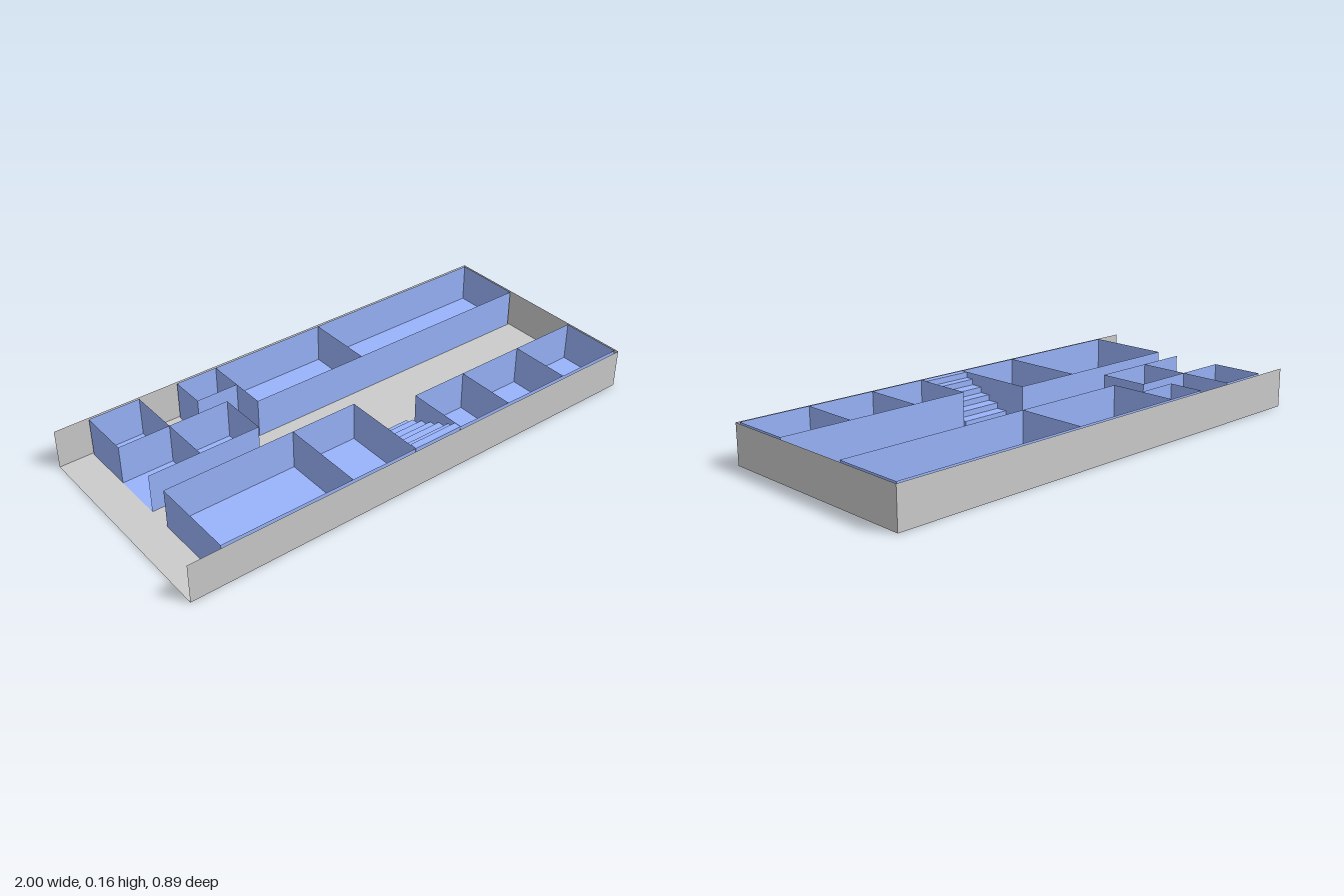
import * as THREE from 'three';

const GREY = new THREE.MeshStandardMaterial({ color: 0xcccccc, side: THREE.DoubleSide, flatShading: true });
const BLUE = new THREE.MeshStandardMaterial({ color: 0x99b4fb, side: THREE.DoubleSide, flatShading: true });
const SHELL_H = 0.16;
const ROOM_H = 0.162;
const FLOOR_Y = 0.002;

// Thin upright panel between two points of the plan
function wall(parent, name, material, [x1, z1, x2, z2], bottom, top) {
  const length = Math.hypot(x2 - x1, z2 - z1);
  const mesh = new THREE.Mesh(new THREE.PlaneGeometry(length, top - bottom), material);
  mesh.position.set((x1 + x2) / 2, (bottom + top) / 2, (z1 + z2) / 2);
  mesh.rotation.y = -Math.atan2(z2 - z1, x2 - x1);
  mesh.name = name;
  parent.add(mesh);
}

// Flat rectangle of floor
function floor(parent, name, material, [x1, z1, x2, z2], y) {
  const mesh = new THREE.Mesh(new THREE.PlaneGeometry(x2 - x1, z2 - z1), material);
  mesh.rotation.x = -Math.PI / 2;
  mesh.position.set((x1 + x2) / 2, y, (z1 + z2) / 2);
  mesh.name = name;
  parent.add(mesh);
}

function roomBlock(name, floors, walls) {
  const group = new THREE.Group();
  group.name = name;
  floors.forEach((f) => floor(group, 'roomFloor', BLUE, f, FLOOR_Y));
  walls.forEach((w) => wall(group, 'roomWall', BLUE, w, FLOOR_Y, ROOM_H));
  return group;
}

export function createModel() {
  const model = new THREE.Group();
  model.name = 'floorPlan';

  // Outer shell, open at the -x end
  const shell = new THREE.Group();
  shell.name = 'outerShell';
  floor(shell, 'groundFloor', GREY, [-1, -0.447, 1, 0.447], 0);
  wall(shell, 'frontOuterWall', GREY, [-1, 0.447, 1, 0.447], 0, SHELL_H);
  wall(shell, 'backOuterWall', GREY, [-1, -0.447, 1, -0.447], 0, SHELL_H);
  wall(shell, 'endOuterWall', GREY, [1, -0.447, 1, 0.447], 0, SHELL_H);
  model.add(shell);

  // Two front rooms near the open end
  model.add(roomBlock('frontLargeRooms',
    [[-0.865, 0.085, -0.045, 0.435]],
    [
      [-0.865, 0.085, -0.045, 0.085],
      [-0.865, 0.435, -0.045, 0.435],
      ...[-0.865, -0.325, -0.045].map((x) => [x, 0.085, x, 0.435]),
    ]));

  // Three front rooms beyond the stairs
  model.add(roomBlock('frontSmallRooms',
    [[0.17, 0.185, 0.99, 0.435]],
    [
      [0.17, 0.185, 0.99, 0.185],
      [0.17, 0.435, 0.99, 0.435],
      ...[0.17, 0.41, 0.7, 0.99].map((x) => [x, 0.185, x, 0.435]),
    ]));

  // Two long back rooms with a closet beside them
  model.add(roomBlock('backRooms',
    [[-0.315, -0.435, 0.99, -0.15], [-0.49, -0.435, -0.315, -0.29]],
    [
      [-0.49, -0.435, 0.99, -0.435],
      [-0.315, -0.15, 0.99, -0.15],
      [-0.49, -0.29, -0.315, -0.29],
      [-0.49, -0.435, -0.49, -0.29],
      ...[-0.315, 0.18, 0.99].map((x) => [x, -0.435, x, -0.15]),
    ]));

  // Back corner rooms, with an alcove open towards -x
  model.add(roomBlock('cornerRooms',
    [[-0.865, -0.435, -0.655, -0.015], [-0.655, -0.22, -0.405, -0.015]],
    [
      [-0.865, -0.435, -0.655, -0.435],
      [-0.865, -0.435, -0.865, -0.22],
      [-0.655, -0.435, -0.655, -0.015],
      [-0.405, -0.22, -0.405, -0.015],
      [-0.865, -0.22, -0.405, -0.22],
      [-0.865, -0.015, -0.405, -0.015],
    ]));

  // Stairs climbing towards the front wall
  const stairs = new THREE.Group();
  stairs.name = 'stairs';
  const edges = [0.14, 0.177, 0.225, 0.275, 0.32, 0.37, 0.405, 0.435];
  for (let i = 0; i < edges.length - 1; i++) {
    const height = (ROOM_H * (i + 1)) / (edges.length - 1);
    const depth = edges[i + 1] - edges[i];
    const step = new THREE.Mesh(new THREE.BoxGeometry(0.211, height, depth), BLUE);
    step.position.set(0.0625, height / 2, edges[i] + depth / 2);
    step.name = 'stairStep';
    stairs.add(step);
  }
  model.add(stairs);

  return model;
}
